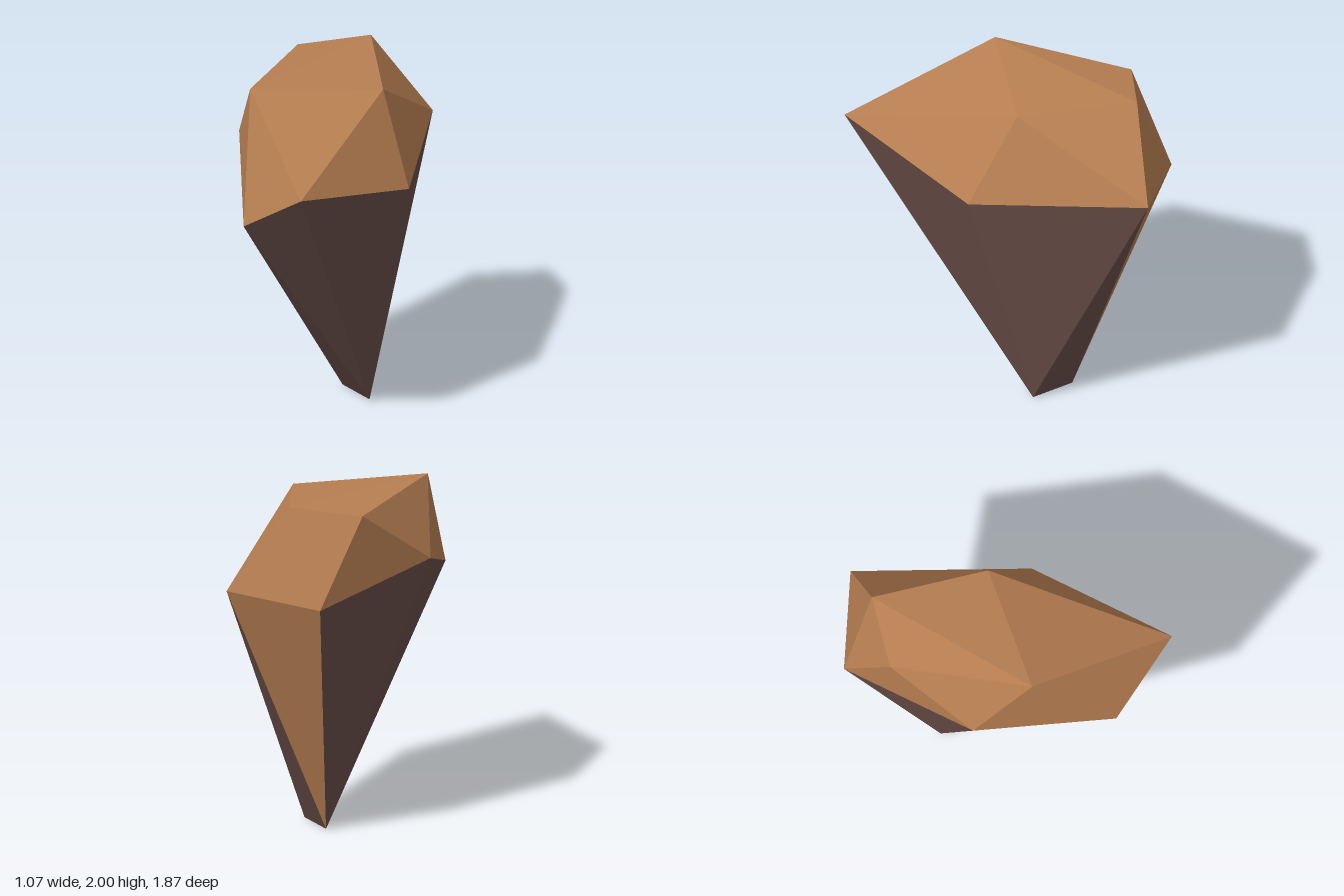
import * as THREE from 'three';

// Corner points of the faceted stone
const P = {
  A: [-0.2, 1.45, -0.91], B: [0.37, 1.51, -0.94], C: [0.05, 2, -0.78], D: [-0.34, 1.955, -0.63],
  E: [-0.54, 1.6, -0.13], F: [-0.38, 2, 0.19], G: [0.31, 1.945, -0.145], H: [0.53, 1.447, 0.08],
  I: [0.14, 1.66, 0.93], J: [-0.28, 1.35, 0.66], K: [0, 0, -0.38], L: [0.21, 0, -0.21],
};
const CENTRE = new THREE.Vector3(0, 1.3, -0.1);

// Builds flat facets from corner names, turning each one outwards
function facets(name, list, material) {
  const positions = [];
  for (const face of list.split(' ')) {
    const [a, b, c] = [...face].map((k) => new THREE.Vector3(...P[k]));
    const normal = b.clone().sub(a).cross(c.clone().sub(a));
    const outward = normal.dot(a.clone().sub(CENTRE)) > 0;
    for (const v of outward ? [a, b, c] : [a, c, b]) positions.push(v.x, v.y, v.z);
  }
  const geometry = new THREE.BufferGeometry();
  geometry.setAttribute('position', new THREE.Float32BufferAttribute(positions, 3));
  geometry.computeVertexNormals();
  const mesh = new THREE.Mesh(geometry, material);
  mesh.name = name;
  return mesh;
}

export function createModel() {
  const earth = new THREE.MeshStandardMaterial({ color: 0xb87f52, flatShading: true });
  earth.name = 'earthBrown';
  const rock = new THREE.MeshStandardMaterial({ color: 0x6b4f4a, flatShading: true });
  rock.name = 'darkRock';

  const group = new THREE.Group();
  group.name = 'floatingRock';
  // Crown facets around the top
  group.add(facets('crown', 'FGI FIJ FJE FED FDC FCG CBG GBH GHI ABC ACD ADE', earth));
  // Single brown facet running down the back
  group.add(facets('backFacet', 'BAK', earth));
  // Dark facets tapering to the foot
  group.add(facets('taperedBase', 'AEK EJK JLK JIL IHL HBL BKL', rock));
  return group;
}
